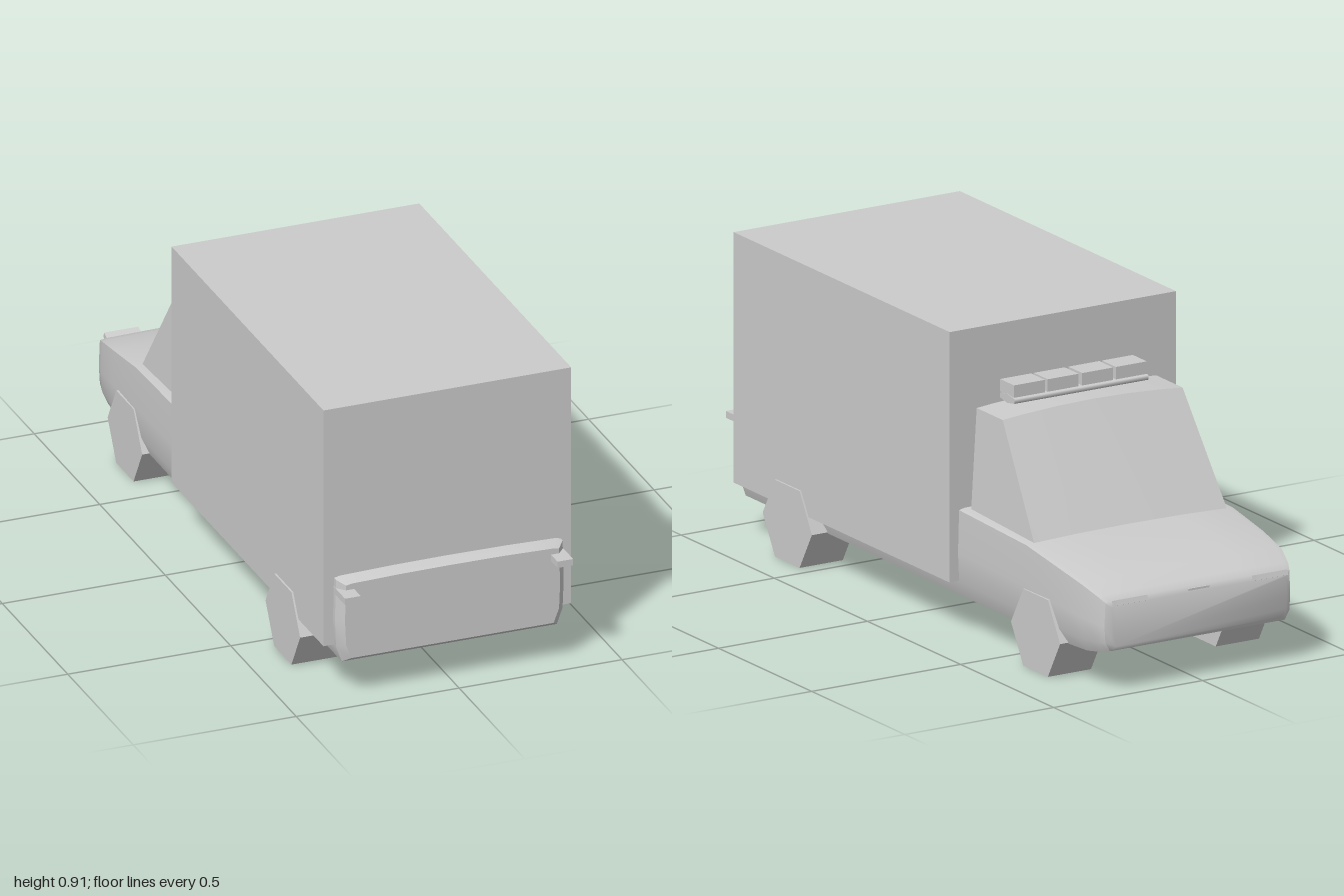
import * as THREE from 'three';
import { toCreasedNormals } from 'three/addons/utils/BufferGeometryUtils.js';

const material = new THREE.MeshStandardMaterial({ color: 0xcccccc });

function add(parent, name, geometry, x = 0, y = 0, z = 0) {
  const mesh = new THREE.Mesh(geometry, material);
  mesh.name = name;
  mesh.position.set(x, y, z);
  parent.add(mesh);
  return mesh;
}

// Skin a row of matching closed rings and cap both ends
function loft(rings, crease) {
  const n = rings[0].length;
  const index = [];
  for (let j = 0; j < rings.length - 1; j++) {
    for (let i = 0; i < n; i++) {
      const k = (i + 1) % n;
      const a = j * n + i, b = j * n + k, c = a + n, d = b + n;
      index.push(a, c, b, b, c, d);
    }
  }
  const last = (rings.length - 1) * n;
  for (let i = 1; i < n - 1; i++) {
    index.push(0, i, i + 1, last, last + i + 1, last + i);
  }
  const g = new THREE.BufferGeometry();
  g.setAttribute('position', new THREE.Float32BufferAttribute(rings.flat(2), 3));
  g.setIndex(index);
  return toCreasedNormals(g, crease);
}

// Body cross-section with leaning sides and a slightly crowned top
function bodyRing([z, w, top, bottom]) {
  const h = top - bottom;
  const half = [
    [0.94 * w, bottom], [0.99 * w, bottom + 0.18 * h], [w, bottom + 0.5 * h],
    [0.99 * w, top - 0.035 * h], [0.94 * w, top - 0.02 * h], [0.5 * w, top - 0.005 * h],
  ];
  const right = half.map(([x, y]) => [x, y, z]);
  const left = half.map(([x, y]) => [-x, y, z]).reverse();
  return [...right, [0, top, z], ...left];
}

export function createModel() {
  const truck = new THREE.Group();
  truck.name = 'boxTruck';

  // Lower body, from tail to nose: z, half width, top, bottom
  add(truck, 'body', loft([
    [0.95, 0.33, 0.368, 0.128],
    [0.925, 0.351, 0.38, 0.11],
    [-0.25, 0.352, 0.38, 0.11],
    [-0.61, 0.351, 0.367, 0.11],
    [-0.78, 0.347, 0.34, 0.11],
    [-0.89, 0.338, 0.317, 0.112],
    [-0.95, 0.322, 0.292, 0.12],
    [-0.972, 0.312, 0.278, 0.127],
    [-0.98, 0.295, 0.262, 0.14],
  ].map(bodyRing), 0.6));

  // Cargo box
  add(truck, 'cargoBox', new THREE.BoxGeometry(0.76, 0.745, 1.16), 0, 0.5325, 0.33);

  // Cab with a sloping windscreen and a crowned roof
  const cabRings = [1, 0.8, 0.4, 0, -0.4, -0.8, -1].map((t) => {
    const roof = 0.687 - 0.015 * t * t;
    return [
      [0.322 * t, 0.345, -0.27], [0.324 * t, 0.355, -0.617],
      [0.302 * t, roof, -0.41], [0.302 * t, roof, -0.27],
    ];
  });
  add(truck, 'cab', loft(cabRings, 0.5));

  // Roof light bar: hexagonal rail and four lamps
  const bar = new THREE.Group();
  bar.name = 'lightBar';
  truck.add(bar);
  const rail = new THREE.CylinderGeometry(0.045, 0.045, 0.45, 6).rotateZ(Math.PI / 2);
  rail.rotateX(Math.PI / 2).scale(1, 0.3, 1);
  add(bar, 'lightRail', rail, 0, 0.699, -0.311);
  for (const x of [-0.171, -0.058, 0.058, 0.171]) {
    add(bar, 'roofLamp', new THREE.BoxGeometry(0.104, 0.037, 0.075), x, 0.727, -0.307);
  }

  for (const side of [-1, 1]) {
    // Hexagonal wheels, the rear pair set wider
    for (const [name, x, z] of [['rearWheel', 0.313, 0.613], ['frontWheel', 0.282, -0.67]]) {
      const wheel = new THREE.CylinderGeometry(0.132, 0.132, 0.145, 6).rotateZ(Math.PI / 2);
      // Turn a flat side to the ground
      wheel.computeBoundingBox();
      const s = wheel.boundingBox.max;
      if (s.y > s.z) wheel.rotateX(Math.PI / 6);
      add(truck, name, wheel.toNonIndexed(), side * x, 0.1143, z).geometry.computeVertexNormals();
    }

    // Headlights and tail lights
    const lamp = add(truck, 'headlight', new THREE.BoxGeometry(0.105, 0.016, 0.03), side * 0.235, 0.271, -0.984);
    lamp.rotation.x = 0.35;
    add(truck, 'tailLight', new THREE.BoxGeometry(0.048, 0.02, 0.09), side * 0.326, 0.335, 0.955);
  }

  // Bonnet catch
  add(truck, 'bonnetCatch', new THREE.BoxGeometry(0.07, 0.006, 0.012), 0, 0.27, -0.974);

  return truck;
}
